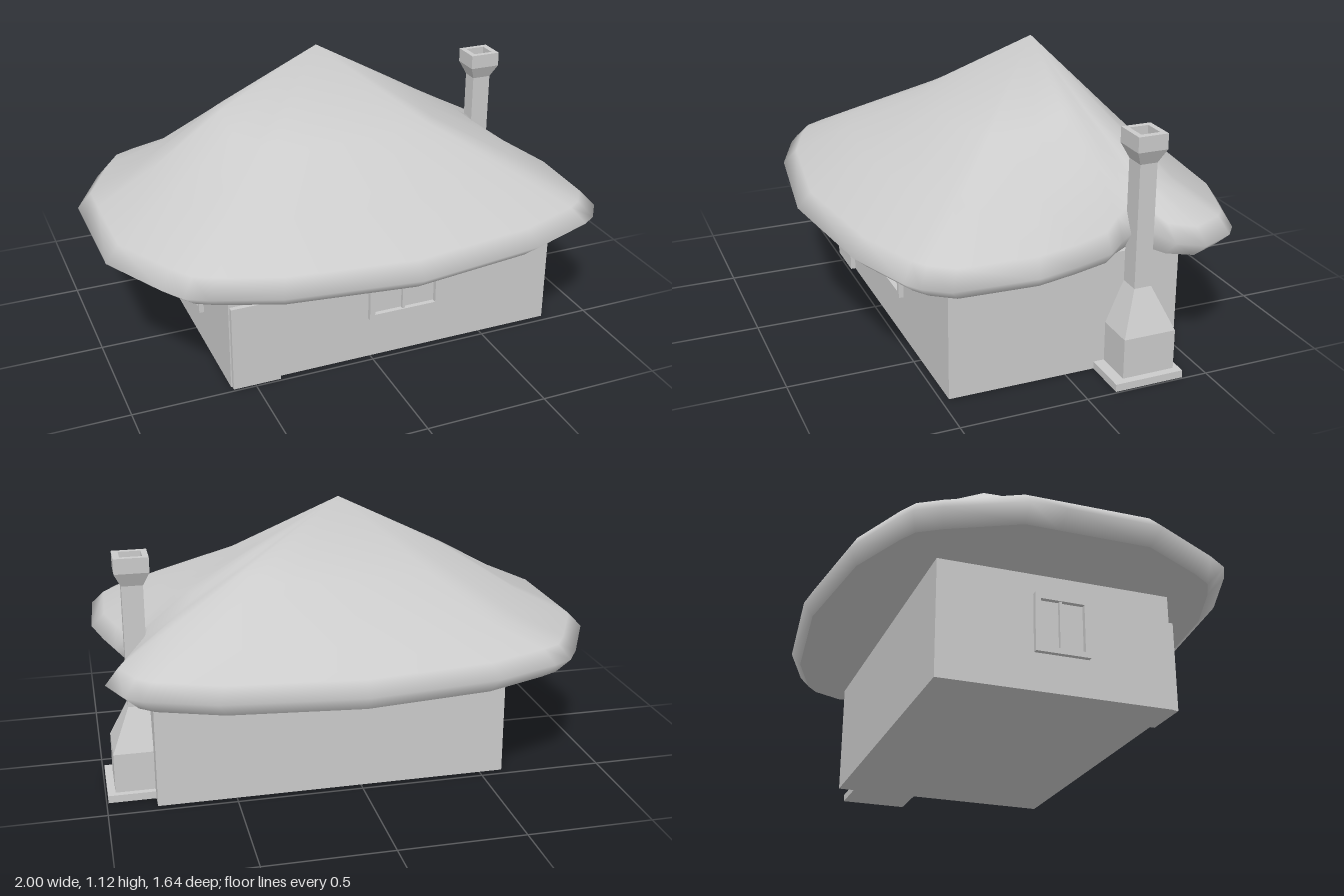
import * as THREE from 'three';
import { toCreasedNormals } from 'three/addons/utils/BufferGeometryUtils.js';

const grey = new THREE.MeshStandardMaterial({ color: 0xcccccc });

function add(parent, name, geometry) {
  const mesh = new THREE.Mesh(geometry, grey);
  mesh.name = name;
  parent.add(mesh);
  return mesh;
}

// Box given by its low and high corners
function box(parent, name, [x0, y0, z0], [x1, y1, z1]) {
  const mesh = add(parent, name, new THREE.BoxGeometry(x1 - x0, y1 - y0, z1 - z0));
  mesh.position.set((x0 + x1) / 2, (y0 + y1) / 2, (z0 + z1) / 2);
}

// Joins closed rings of equal length into a skin, ending in a point
function loft(rings, tip) {
  const n = rings[0].length, index = [];
  const points = [...rings.flat(), tip];
  for (let r = 0; r < rings.length; r++) {
    for (let i = 0; i < n; i++) {
      const a = r * n + i, b = r * n + (i + 1) % n;
      if (r < rings.length - 1) index.push(a, b, a + n, b, b + n, a + n);
      else index.push(a, b, points.length - 1);
    }
  }
  const g = new THREE.BufferGeometry();
  g.setAttribute('position', new THREE.Float32BufferAttribute(points.flat(), 3));
  g.setIndex(index);
  g.computeVertexNormals();
  return g;
}

// Thatched roof: eaves outline [x, z, lift], dented and lifted at the chimney
function makeRoof(parent) {
  const eaves = [
    [-1, 0.25], [-1, -0.12], [-1, -0.26], [-0.86, -0.53], [-0.8, -0.62], [-0.72, -0.66], [-0.46, -0.76],
    [0.06, -0.82], [0.6, -0.76], [0.86, -0.665], [0.92, -0.615], [0.98, -0.48], [0.93, -0.38, 0.01],
    [0.86, -0.32, 0.06], [0.84, -0.26, 0.08], [0.87, -0.19, 0.04], [0.92, -0.12, 0.01], [0.96, 0.03],
    [1, 0.2], [0.985, 0.52], [0.92, 0.61], [0.86, 0.65], [0.59, 0.75], [0.06, 0.82], [-0.47, 0.75],
    [-0.72, 0.655], [-0.8, 0.61], [-0.86, 0.52],
  ];
  const apex = [0.03, 1.12, -0.19];
  const ring = (f, height) => eaves.map(([x, z, lift = 0]) => [
    apex[0] + (x - apex[0]) * f, height(lift, x, z), apex[2] + (z - apex[2]) * f,
  ]);
  // Weights of the cross ridge and of the hollower back slope
  const ridge = (z) => Math.max(0, 1 - Math.abs(z + 0.18) / 0.5);
  const back = (z) => THREE.MathUtils.clamp((-z - 0.3) / 0.4, 0, 1);
  const bottom = ring(0.94, (l) => 0.467 + l * 0.25);
  add(parent, 'thatchedRoof', loft([
    bottom,
    ring(1, (l) => 0.523 + l * 0.55),
    ring(0.945, (l) => 0.583 + l),
    ring(0.72, (l, x, z) => 0.7 - 0.04 * back(z) + (x > 0.8 ? 0.06 * ridge(z) : 0) + l * 0.4),
    ring(0.42, (l, x, z) => 0.85 + 0.06 * ridge(z) + l * 0.3),
  ].map((r) => r.reverse()), apex));
  add(parent, 'roofUnderside', loft([bottom.slice().reverse()], [0.1, 0.467, 0]));
}

// Window: open frame with a centre bar, facing +z
function makeWindow(parent, name, w, h) {
  const win = new THREE.Group();
  win.name = name;
  parent.add(win);
  const t = 0.022;
  const rect = (S, a, b) => new S([[-a, -b], [a, -b], [a, b], [-a, b]].map((p) => new THREE.Vector2(...p)));
  const shape = rect(THREE.Shape, w / 2, h / 2);
  shape.holes.push(rect(THREE.Path, w / 2 - t, h / 2 - t));
  add(win, 'windowFrame', new THREE.ExtrudeGeometry(shape, { depth: 0.02, bevelEnabled: false }));
  box(win, 'windowBar', [-0.011, -h / 2 + t, 0], [-0.001, h / 2 - t, 0.015]);
  return win;
}

// Chimney: square sections [x0, x1, half depth, y] from the ground to inside the flue
function makeChimney(parent) {
  const chimney = new THREE.Group();
  chimney.name = 'chimney';
  parent.add(chimney);
  const cz = -0.27;
  box(chimney, 'chimneyBase', [0.8, 0, -0.4], [0.993, 0.03, -0.12]);
  const rings = [
    [0.8, 0.963, 0.106, 0.03], [0.8, 0.963, 0.106, 0.19], [0.81, 0.892, 0.035, 0.355],
    [0.81, 0.892, 0.035, 0.845], [0.785, 0.918, 0.06, 0.9], [0.785, 0.918, 0.06, 0.96],
    [0.808, 0.893, 0.038, 0.96], [0.808, 0.893, 0.038, 0.91], [0.83, 0.872, 0.018, 0.86],
  ].map(([x0, x1, d, y]) => [[x0, y, cz + d], [x1, y, cz + d], [x1, y, cz - d], [x0, y, cz - d]]);
  add(chimney, 'chimneyStack', toCreasedNormals(loft(rings, [0.85, 0.86, cz]), 0.3));
}

export function createModel() {
  const house = new THREE.Group();
  house.name = 'cottage';

  box(house, 'walls', [-0.595, 0, -0.467], [0.808, 0.475, 0.47]);
  box(house, 'door', [-0.59, 0, 0.46], [-0.395, 0.36, 0.49]);

  makeWindow(house, 'frontWindow', 0.312, 0.172).position.set(0.145, 0.265, 0.47);
  const side = makeWindow(house, 'sideWindow', 0.22, 0.235);
  side.position.set(-0.595, 0.268, 0.02);
  side.rotation.y = -Math.PI / 2;

  makeRoof(house);
  makeChimney(house);
  return house;
}
